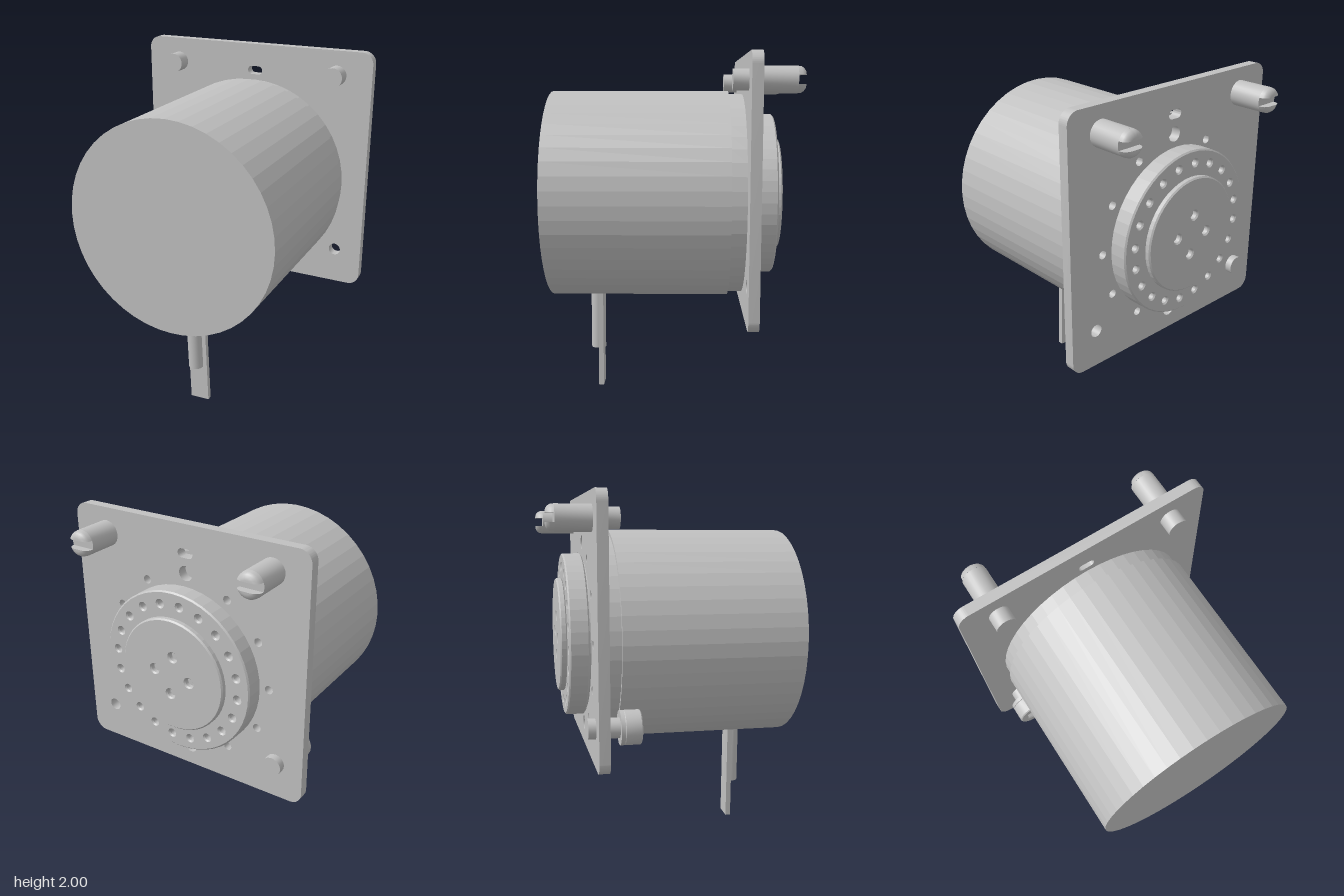
import * as THREE from 'three';
import { toCreasedNormals } from 'three/addons/utils/BufferGeometryUtils.js';

const CY = 1.19; // height of the drum axis

export function createModel() {
  const model = new THREE.Group();
  const steel = new THREE.MeshStandardMaterial({ color: 0xc0c0c0 });
  steel.name = 'light grey metal';

  function add(name, geometry, x = 0, y = 0, z = 0, crease = 0.6, parent = model) {
    const mesh = new THREE.Mesh(toCreasedNormals(geometry, crease), steel);
    mesh.name = name;
    mesh.position.set(x, y, z);
    parent.add(mesh);
    return mesh;
  }
  // Cylinder along z between two depths
  function rod(name, r, z0, z1, x, y, sides = 24, crease = 0.6) {
    const g = new THREE.CylinderGeometry(r, r, z1 - z0, sides).rotateX(Math.PI / 2);
    return add(name, g, x, y, (z0 + z1) / 2, crease);
  }
  const circle = (x, y, r, Kind = THREE.Path) => {
    const p = new Kind();
    p.absarc(x, y, r, 0, Math.PI * 2, false);
    return p;
  };
  const circleRing = (n, radius, r, start = 0) => Array.from({ length: n }, (_, i) => {
    const a = start + i * Math.PI * 2 / n;
    return circle(Math.cos(a) * radius, Math.sin(a) * radius, r);
  });
  // Shape extruded between two depths, with an optional edge bevel
  function slab(name, shape, z0, z1, x, y, bevel = 0, segments = 12, crease = 0.6) {
    const g = new THREE.ExtrudeGeometry(shape, {
      depth: z1 - z0 - 2 * bevel, curveSegments: segments, bevelEnabled: bevel > 0,
      bevelSize: bevel, bevelThickness: bevel, bevelOffset: -bevel, bevelSegments: 1,
    });
    return add(name, g, x, y, z0 + bevel, crease);
  }

  // Drum and its narrower neck
  rod('drum', 0.612, -0.325, 0.71, 0, CY, 48, 0.08);
  rod('neck', 0.592, -0.412, -0.325, 0, CY, 48, 0.08);

  // Square mounting plate with rounded corners
  const plate = new THREE.Shape();
  const w = 0.738, y0 = 0.525, y1 = 2, c = 0.07;
  plate.absarc(w - c, y1 - c, c, 0, Math.PI / 2);
  plate.absarc(-w + c, y1 - c, c, Math.PI / 2, Math.PI);
  plate.absarc(-w + c, y0 + c, c, Math.PI, Math.PI * 1.5);
  plate.absarc(w - c, y0 + c, c, Math.PI * 1.5, Math.PI * 2);
  plate.closePath();
  const slot = new THREE.Path();
  slot.absarc(0.022, 1.84, 0.025, -Math.PI / 2, Math.PI / 2);
  slot.absarc(-0.022, 1.84, 0.025, Math.PI / 2, Math.PI * 1.5);
  slot.closePath();
  plate.holes.push(slot, circle(0.57, 0.745, 0.037));
  for (let i = 0; i < 12; i++) {
    const a = i * Math.PI / 6, big = i % 6 === 3, r = big ? 0.54 : 0.52;
    plate.holes.push(circle(Math.cos(a) * r, CY + Math.sin(a) * r, big ? 0.042 : 0.024));
  }
  slab('mountingPlate', plate, -0.47, -0.41, 0, 0);

  // Round rear flange on a thin spacer, drilled around its rim
  rod('flangeSpacer', 0.44, -0.482, -0.468, 0, CY, 48, 0.08);
  const flange = circle(0, 0, 0.475, THREE.Shape);
  flange.holes.push(...circleRing(20, 0.402, 0.019, 0.1));
  slab('rearFlange', flange, -0.59, -0.48, 0, CY, 0.008, 24, 0.1);
  const hub = circle(0, 0, 0.332, THREE.Shape);
  hub.holes.push(...circleRing(4, 0.115, 0.025, 0.1));
  slab('rearHub', hub, -0.627, -0.588, 0, CY, 0.008, 24, 0.1);

  // Half of a rounded screw tip, cut flat along the slot
  function halfTip(slotHalf) {
    const profile = [[0.072, -0.665], [0.069, -0.685], [0.061, -0.698], [0.048, -0.707], [0.036, -0.71]];
    const n = 14, pos = [], idx = [];
    for (const [r, z] of profile) {
      const a = Math.asin(slotHalf / r);
      for (let j = 0; j < n; j++) {
        const t = a + (Math.PI - 2 * a) * j / (n - 1);
        pos.push(r * Math.cos(t), r * Math.sin(t), z);
      }
    }
    for (let i = 0; i < profile.length - 1; i++) {
      for (let j = 0; j < n; j++) {
        const p = i * n + j, q = i * n + (j + 1) % n;
        idx.push(p, p + n, q, q, p + n, q + n);
      }
    }
    const end = (profile.length - 1) * n;
    for (let j = 1; j < n - 1; j++) idx.push(end, end + j + 1, end + j);
    const g = new THREE.BufferGeometry();
    g.setAttribute('position', new THREE.Float32BufferAttribute(pos, 3));
    g.setIndex(idx);
    return g;
  }

  // Two slotted posts through the upper corners
  for (const [side, x] of [['left', 0.525], ['right', -0.525]]) {
    const y = 1.855;
    rod(side + 'PostStub', 0.058, -0.412, -0.325, x, y);
    rod(side + 'PostBody', 0.072, -0.665, -0.468, x, y);
    add(side + 'PostTipUpper', halfTip(0.024), x, y);
    add(side + 'PostTipLower', halfTip(0.024).rotateZ(Math.PI), x, y);
  }

  // Socket screw in the lower right corner
  const sx = -0.57, sy = 0.745;
  rod('screwShaft', 0.056, -0.512, -0.335, sx, sy);
  rod('screwHeadBase', 0.095, -0.34, -0.318, sx, sy);
  const head = circle(0, 0, 0.095, THREE.Shape);
  head.holes.push(new THREE.Path(Array.from({ length: 6 }, (_, i) => {
    const a = i * Math.PI / 3;
    return new THREE.Vector2(Math.sin(a) * 0.05, Math.cos(a) * 0.05);
  })));
  slab('screwHead', head, -0.32, -0.225, sx, sy, 0.006);
  const socket = new THREE.ConeGeometry(0.056, 0.03, 6, 1, true).rotateX(-Math.PI / 2).scale(-1, 1, 1);
  add('screwSocket', socket, sx, sy, -0.3, 0.1);

  // Slightly slanted lead below the drum: round sleeve and flat strip
  const lead = new THREE.Group();
  lead.name = 'lead';
  lead.position.set(0.022, 0.58, 0);
  lead.rotation.z = 0.037;
  model.add(lead);
  add('leadStrip', new THREE.BoxGeometry(0.115, 0.677, 0.03), 0, -0.2385, 0.44, 0.6, lead);
  add('leadSleeve', new THREE.CylinderGeometry(0.044, 0.044, 0.45, 20), -0.01, -0.125, 0.46, 0.6, lead);

  return model;
}
